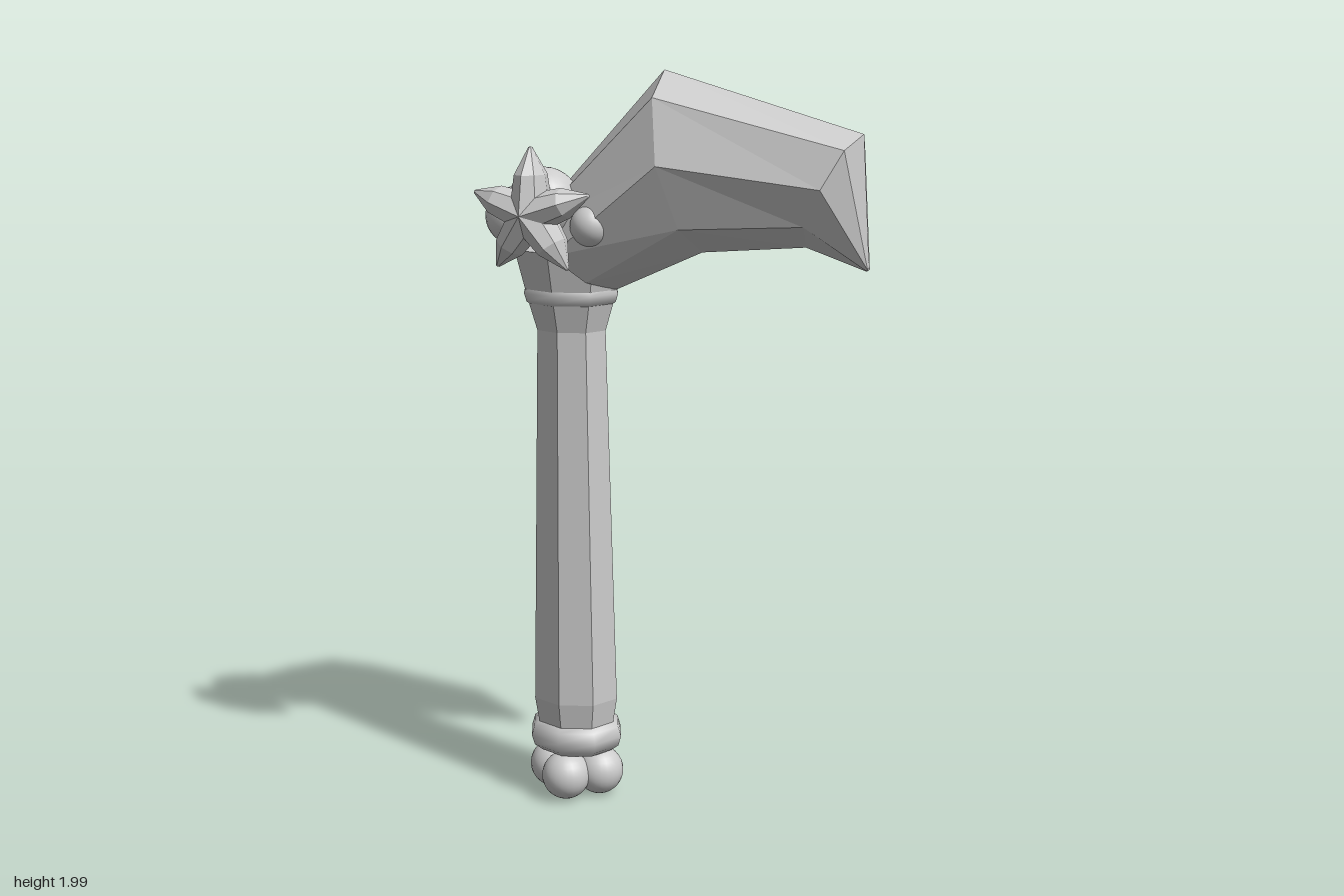
import * as THREE from 'three';

const AX = -0.32, AZ = -0.06; // handle axis

export function createModel() {
  const model = new THREE.Group();
  const flat = new THREE.MeshStandardMaterial({ color: 0xcccccc, flatShading: true, side: THREE.DoubleSide });
  const smooth = new THREE.MeshStandardMaterial({ color: 0xcccccc });

  const add = (name, geo, mat, x, y, z, parent = model) => {
    const m = new THREE.Mesh(geo, mat);
    m.name = name;
    m.position.set(x, y, z);
    parent.add(m);
    return m;
  };
  const ball = (name, r, x, y, z) => add(name, new THREE.SphereGeometry(r, 24, 16), smooth, x, y, z);
  const lathe = (pts, n) => new THREE.LatheGeometry(pts.map(p => new THREE.Vector2(...p)), n);

  // Eight-sided handle, slightly flattened, flaring into an open cup at the top
  const handle = lathe([[0, 0.13], [0.1, 0.14], [0.11, 0.2], [0.125, 0.29], [0.1, 1.32],
    [0.125, 1.4], [0.162, 1.535], [0, 1.535]], 8);
  handle.scale(1, 1, 0.88);
  add('handle', handle, flat, AX, 0, AZ);

  // Rounded collars at both ends of the handle
  for (const [name, y, tube, h] of [['lowerCollar', 0.18, 0.045, 1.05], ['upperCollar', 1.42, 0.037, 1]]) {
    const ring = new THREE.TorusGeometry(0.137 - tube, tube, 10, 8);
    ring.rotateX(Math.PI / 2);
    ring.scale(1, h, 0.88);
    add(name, ring, smooth, AX, y, AZ);
  }

  // Pommel of four balls
  for (let i = 0; i < 4; i++) {
    const a = i * Math.PI / 2;
    ball('pommelBall', 0.067, AX + 0.07 * Math.cos(a), 0.073, AZ + 0.07 * Math.sin(a));
  }

  // Curved head: each half section runs top to bottom as [x, y, half width]
  const sections = [
    [[-0.41, 1.62, 0], [-0.385, 1.595, 0.11], [-0.305, 1.53, 0.155], [-0.225, 1.46, 0.11], [-0.19, 1.43, 0]],
    [[-0.05, 2.0, 0], [-0.03, 1.935, 0.13], [0, 1.77, 0.183], [0.04, 1.61, 0.13], [0.055, 1.54, 0]],
    [[0.48, 1.85, 0], [0.457, 1.815, 0.087], [0.408, 1.72, 0.122], [0.355, 1.625, 0.087], [0.335, 1.565, 0]],
    [[0.5, 1.525, 0], [0.5, 1.522, 0.008], [0.5, 1.518, 0.011], [0.497, 1.514, 0.008], [0.495, 1.512, 0]],
  ];
  const rings = sections.map(s => [
    ...s.map(([x, y, w]) => [x, y, w]),
    ...s.slice(1, 4).reverse().map(([x, y, w]) => [x, y, -w]),
  ]);
  const pos = [];
  for (let i = 0; i < 3; i++) {
    for (let j = 0; j < 8; j++) {
      const k = (j + 1) % 8;
      const a = rings[i][j], b = rings[i][k], c = rings[i + 1][k], d = rings[i + 1][j];
      pos.push(...a, ...b, ...c, ...a, ...c, ...d);
    }
  }
  for (let j = 1; j < 7; j++) { // end caps
    pos.push(...rings[0][0], ...rings[0][j + 1], ...rings[0][j]);
    pos.push(...rings[3][0], ...rings[3][j], ...rings[3][j + 1]);
  }
  const headGeo = new THREE.BufferGeometry();
  headGeo.setAttribute('position', new THREE.Float32BufferAttribute(pos, 3));
  headGeo.computeVertexNormals();
  add('head', headGeo, flat, 0, 0, AZ);

  // Cluster of balls behind the star
  ball('largeBall', 0.095, -0.342, 1.66, 0.05);
  ball('sideBall', 0.076, -0.43, 1.625, 0.045);
  ball('smallBall', 0.054, -0.2, 1.61, 0.07);

  // Star of five tapering eight-sided arms meeting at the centre
  const star = new THREE.Group();
  star.name = 'star';
  star.position.set(AX, 1.645, 0.167);
  const arm = lathe([[0.073, 0], [0.055, 0.1], [0.007, 0.167], [0, 0.17]], 8);
  arm.scale(0.72, 1, 1);
  for (let i = 0; i < 5; i++) {
    add('starArm', arm, flat, 0, 0, 0, star).rotation.z = i * Math.PI * 2 / 5;
  }
  model.add(star);

  return model;
}
